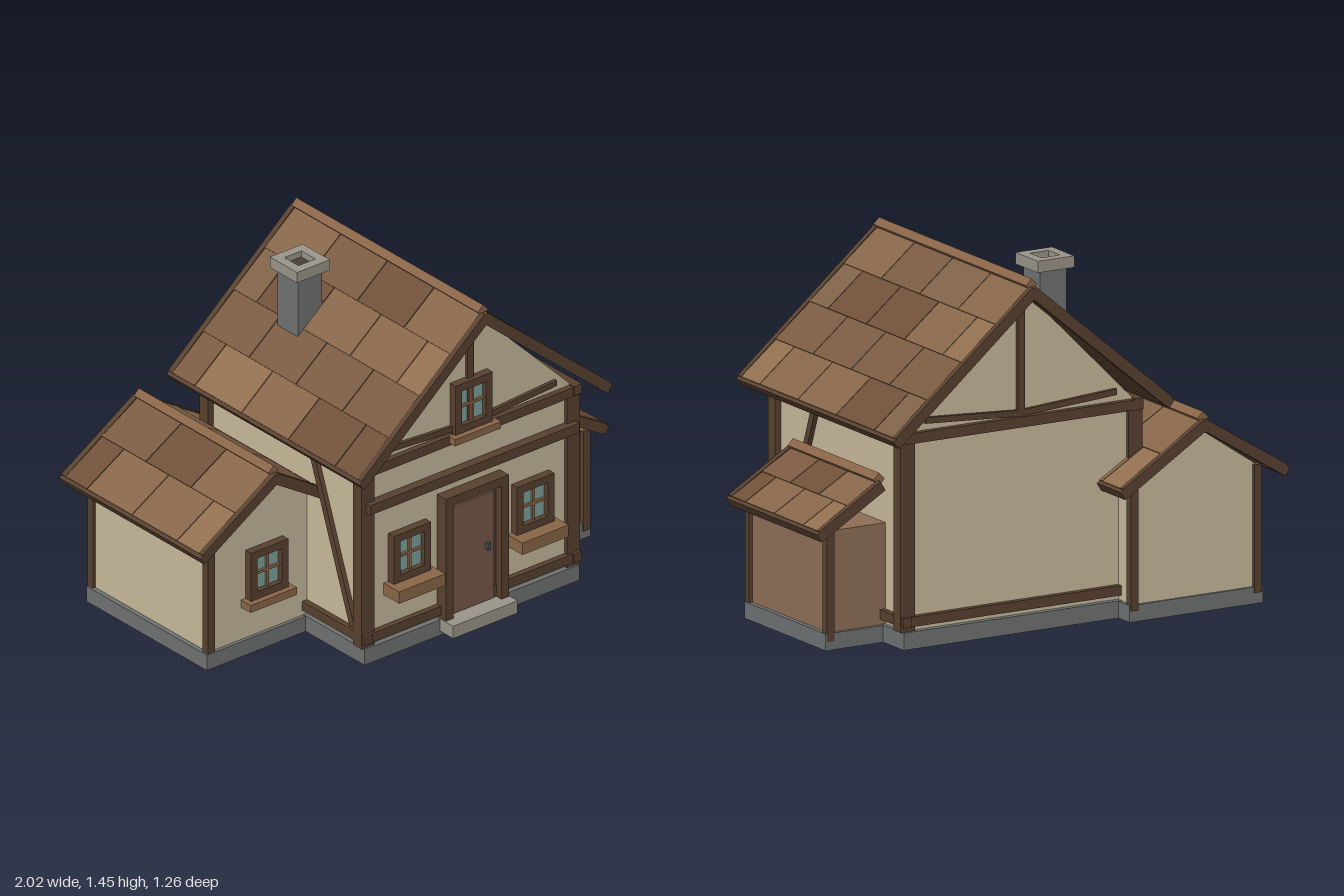
import * as THREE from 'three';

const mat = (color, extra = {}) => new THREE.MeshStandardMaterial({ color, flatShading: true, ...extra });
const M = {
  timber: mat(0x58412f), plaster: mat(0xc8bb9c), stone: mat(0x6f7372), cap: mat(0x9a958a),
  dark: mat(0x4a4038), door: mat(0x78594a), plank: mat(0x8f6f57), trim: mat(0x8a6648),
  glass: mat(0x7fa39b), iron: mat(0x4a5052),
};
const tileMats = [0x86664a, 0x7a5a42, 0x6f5039, 0x916f50, 0x7e6148].map((c) => mat(c));

// Box given by its extents on each axis
function box(parent, name, material, [x0, x1], [y0, y1], [z0, z1]) {
  const m = new THREE.Mesh(new THREE.BoxGeometry(x1 - x0, y1 - y0, z1 - z0), material);
  m.position.set((x0 + x1) / 2, (y0 + y1) / 2, (z0 + z1) / 2);
  m.name = name;
  parent.add(m);
  return m;
}

// Square beam between two points
function beam(parent, name, a, b, w, d) {
  const from = new THREE.Vector3(...a), to = new THREE.Vector3(...b);
  const m = new THREE.Mesh(new THREE.BoxGeometry(w, from.distanceTo(to), d), M.timber);
  m.position.copy(from).add(to).multiplyScalar(0.5);
  m.quaternion.setFromUnitVectors(new THREE.Vector3(0, 1, 0), to.sub(from).normalize());
  m.name = name;
  parent.add(m);
}

// Wall block with a gable on both ends
function gabledWalls(parent, name, x0, x1, y0, eave, apex, z0, z1) {
  const s = new THREE.Shape();
  s.moveTo(x0, y0);
  s.lineTo(x1, y0);
  s.lineTo(x1, eave);
  s.lineTo((x0 + x1) / 2, apex);
  s.lineTo(x0, eave);
  s.closePath();
  const m = new THREE.Mesh(new THREE.ExtrudeGeometry(s, { depth: z1 - z0, bevelEnabled: false }), M.plaster);
  m.position.z = z0;
  m.name = name;
  parent.add(m);
}

// One roof slope running down towards local +x, with staggered tiles
function roofSlope(name, run, drop, length, rows, cols, seed) {
  const g = new THREE.Group();
  g.name = name;
  g.rotation.z = -Math.atan2(drop, run);
  const L = Math.hypot(run, drop), h = length / 2, w = length / cols, r = L / rows, gap = 0.004;
  box(g, 'roofDeck', M.timber, [0, L], [-0.025, 0], [-h, h]);
  for (let i = 0; i < rows; i++) {
    const cuts = [-h];
    for (let c = i % 2 ? 0.5 : 1; c < cols; c++) cuts.push(-h + c * w);
    cuts.push(h);
    for (let k = 0; k + 1 < cuts.length; k++) {
      const n = (k * 7 + i * 11 + seed * 5 + k * i * 3) % 13;
      const t = box(g, 'roofTile', tileMats[n % 5], [i * r, (i + 1) * r], [-0.004, 0.01],
        [cuts[k] + gap / 2, cuts[k + 1] - gap / 2]);
      t.rotation.z = 0.02;
    }
  }
  for (const s of [-1, 1]) {
    const z = [s * (h - 0.005), s * (h + 0.02)].sort((a, b) => a - b);
    box(g, 'bargeBoard', M.timber, [0, L], [-0.032, 0.013], z);
  }
  box(g, 'eaveBoard', M.timber, [L - 0.012, L + 0.016], [-0.03, 0.008], [-h - 0.02, h + 0.02]);
  return g;
}

// Complete roof: one or two slopes and a ridge cap
function roof(parent, name, x, y, zMid, run, drop, length, rows, cols, sides) {
  const g = new THREE.Group();
  g.name = name;
  g.position.set(x, y, zMid);
  sides.forEach((s, i) => {
    const half = new THREE.Group();
    half.rotation.y = s > 0 ? 0 : Math.PI;
    half.add(roofSlope(s > 0 ? 'rightSlope' : 'leftSlope', run, drop, length, rows, cols, i + 1));
    g.add(half);
  });
  const ridge = box(g, 'ridgeCap', M.trim, [-0.018, 0.018], [-0.003, 0.033], [-length / 2, length / 2]);
  ridge.rotation.z = Math.PI / 4;
  parent.add(g);
}

// Window with four panes, frame and a sill or planter below
function windowUnit(parent, name, x, y, z, h, sillHeight, sillDepth) {
  const g = new THREE.Group();
  g.name = name;
  g.position.set(x, y, z);
  const a = 0.095, b = a - 0.033, t = h / 2, u = t - 0.033;
  box(g, 'glass', M.glass, [-b, b], [-u, u], [-0.01, 0.012]);
  for (const s of [-1, 1]) {
    box(g, 'frameSide', M.timber, s < 0 ? [-a, -b] : [b, a], [-t, t], [-0.01, 0.035]);
    box(g, 'frameRail', M.timber, [-b, b], s < 0 ? [-t, -u] : [u, t], [-0.01, 0.035]);
  }
  box(g, 'muntinUpright', M.trim, [-0.006, 0.006], [-u, u], [0, 0.022]);
  box(g, 'muntinBar', M.trim, [-b, b], [-0.006, 0.006], [0, 0.022]);
  box(g, 'sill', M.trim, [-0.118, 0.118], [-t - sillHeight, -t], [-0.01, sillDepth]);
  parent.add(g);
}

export function createModel() {
  const house = new THREE.Group();
  house.name = 'cottage';
  const cx = 0.13, front = 0.52, back = -0.45;

  // Stone footings and doorstep
  box(house, 'mainFooting', M.stone, [-0.42, 0.68], [0, 0.07], [-0.475, 0.543]);
  box(house, 'wingFooting', M.stone, [-0.925, -0.31], [0, 0.068], [-0.56, 0.18]);
  box(house, 'shedFooting', M.stone, [0.66, 0.945], [0, 0.068], [-0.32, 0.29]);
  box(house, 'doorStep', M.cap, [-0.035, 0.295], [0.02, 0.075], [0.5, 0.625]);

  // Walls
  gabledWalls(house, 'mainWalls', cx - 0.53, cx + 0.53, 0.06, 0.87, 1.4, back, front);
  gabledWalls(house, 'wingWalls', -0.905, -0.325, 0.06, 0.56, 0.757, -0.55, 0.165);
  box(house, 'shedWalls', M.plank, [0.64, 0.925], [0.06, 0.48], [-0.305, 0.277]);

  // Main timber frame
  for (const s of [-1, 1]) {
    const x = cx + s * 0.525;
    for (const z of [0.508, -0.438])
      box(house, 'cornerPost', M.timber, [x - 0.033, x + 0.033], [0.07, 0.84], [z - 0.027, z + 0.027]);
    const side = [x - 0.02 + s * 0.01, x + 0.02 + s * 0.01];
    box(house, 'sideSillBeam', M.timber, side, [0.09, 0.13], [-0.48, 0.55]);
    box(house, 'sideTopBeam', M.timber, side, [0.838, 0.88], [-0.475, 0.55]);
    beam(house, 'sideBrace', [x + s * 0.01, 0.14, 0.465], [x + s * 0.01, 0.82, 0.213], 0.03, 0.03);
  }
  for (const [z, s] of [[front, 1], [back, -1]]) {
    const zs = [z - 0.015, z + 0.025].map((v) => (s > 0 ? v : v - 0.01));
    box(house, 'endSillBeam', M.timber, [cx - 0.555, cx + 0.555], [0.09, 0.13], zs);
    box(house, 'endTopBeam', M.timber, [cx - 0.555, cx + 0.555], [0.833, 0.875], zs);
    box(house, 'kingPost', M.timber, [cx - 0.016, cx + 0.016], [0.87, 1.385], [z - 0.015, z + 0.015]);
    for (const k of [-1, 1])
      beam(house, 'gableBrace', [cx + k * 0.44, 0.916, z], [cx, 0.888, z], 0.025, 0.03);
  }
  box(house, 'frontMidBeam', M.timber, [cx - 0.535, cx + 0.535], [0.672, 0.715], [0.5, 0.56]);

  // Wing and shed posts
  for (const x of [-0.9, -0.33])
    for (const z of [-0.548, 0.162])
      box(house, 'wingPost', M.timber, [x - 0.017, x + 0.017], [0.045, 0.565], [z - 0.017, z + 0.017]);
  for (const z of [-0.305, 0.28])
    box(house, 'shedPost', M.timber, [0.905, 0.94], [0.035, 0.48], [z - 0.016, z + 0.016]);

  // Roofs
  roof(house, 'mainRoof', cx, 1.41, 0.035, 0.63, 0.53, 1.15, 4, 4, [-1, 1]);
  roof(house, 'wingRoof', -0.617, 0.787, -0.195, 0.373, 0.232, 0.83, 2, 3, [-1, 1]);
  roof(house, 'shedRoof', 0.71, 0.655, -0.015, 0.28, 0.166, 0.65, 2, 3, [1]);

  // Windows
  windowUnit(house, 'leftWindow', -0.185, 0.425, front, 0.215, 0.053, 0.095);
  windowUnit(house, 'rightWindow', 0.445, 0.425, front, 0.215, 0.053, 0.095);
  windowUnit(house, 'gableWindow', cx, 0.985, front, 0.22, 0.03, 0.06);
  windowUnit(house, 'wingWindow', -0.62, 0.352, 0.165, 0.215, 0.033, 0.06);

  // Door
  for (const s of [-1, 1]) {
    const x = cx + s * 0.142;
    box(house, 'doorJamb', M.timber, [x - 0.019, x + 0.019], [0.075, 0.62], [0.5, 0.575]);
  }
  box(house, 'doorLintel', M.timber, [cx - 0.123, cx + 0.123], [0.58, 0.62], [0.5, 0.575]);
  box(house, 'doorSurround', M.dark, [cx - 0.125, cx + 0.125], [0.075, 0.58], [0.5, 0.542]);
  box(house, 'doorPanel', M.door, [cx - 0.105, cx + 0.105], [0.078, 0.557], [0.51, 0.55]);
  box(house, 'doorHandle', M.iron, [0.193, 0.207], [0.31, 0.342], [0.545, 0.565]);

  // Chimney with a hollow cap
  const chimney = new THREE.Group();
  chimney.name = 'chimney';
  chimney.position.set(-0.157, 0, -0.172);
  box(chimney, 'shaft', M.stone, [-0.062, 0.062], [1.0, 1.39], [-0.062, 0.062]);
  box(chimney, 'flue', M.dark, [-0.043, 0.043], [1.38, 1.405], [-0.043, 0.043]);
  for (const s of [-1, 1]) {
    const r = s < 0 ? [-0.084, -0.043] : [0.043, 0.084];
    box(chimney, 'capSide', M.cap, r, [1.385, 1.432], [-0.084, 0.084]);
    box(chimney, 'capEnd', M.cap, [-0.043, 0.043], [1.385, 1.432], r);
  }
  house.add(chimney);
  return house;
}
